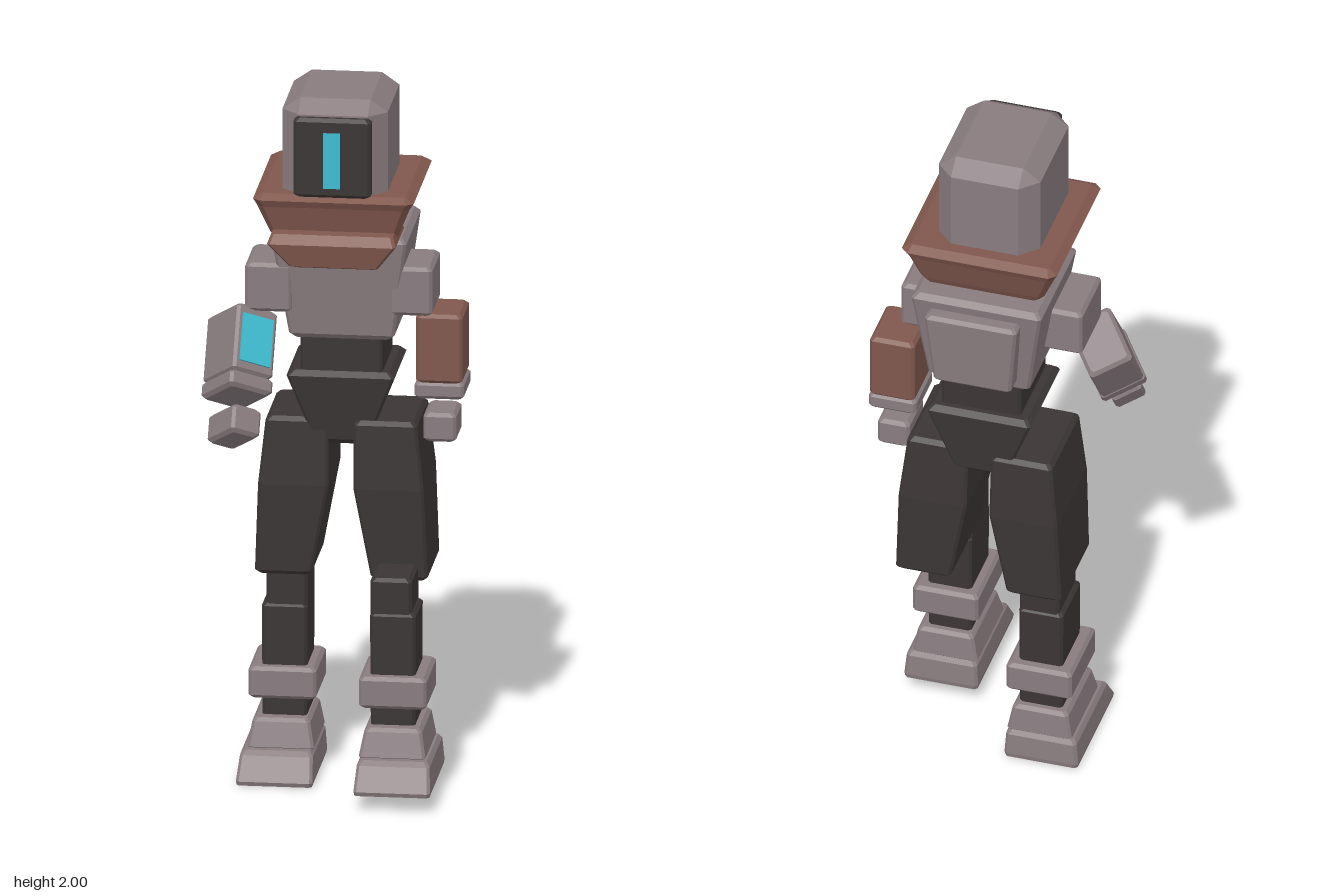
import * as THREE from 'three';

const paint = (name, color) => {
  const m = new THREE.MeshStandardMaterial({ color, flatShading: true });
  m.name = name;
  return m;
};

// Stacks chamfered rectangles [y, x0, x1, z0, z1, chamfer] from bottom to top.
function loft(sections) {
  const rings = sections.map(([y, x0, x1, z0, z1, c = 0.008]) => [
    [x0 + c, y, z1], [x1 - c, y, z1], [x1, y, z1 - c], [x1, y, z0 + c],
    [x1 - c, y, z0], [x0 + c, y, z0], [x0, y, z0 + c], [x0, y, z1 - c],
  ]);
  const pos = [];
  const tri = (a, b, c) => pos.push(...a, ...b, ...c);
  for (let k = 0; k + 1 < rings.length; k++) {
    for (let i = 0; i < 8; i++) {
      const j = (i + 1) % 8, lo = rings[k], hi = rings[k + 1];
      tri(lo[i], lo[j], hi[j]);
      tri(lo[i], hi[j], hi[i]);
    }
  }
  const bottom = rings[0], top = rings[rings.length - 1];
  for (let i = 1; i < 7; i++) {
    tri(top[0], top[i], top[i + 1]);
    tri(bottom[0], bottom[i + 1], bottom[i]);
  }
  const g = new THREE.BufferGeometry();
  g.setAttribute('position', new THREE.Float32BufferAttribute(pos, 3));
  g.computeVertexNormals();
  return g;
}

// Bevelled block through the given sections, with small bevels at both ends.
function block(sections, b = 0.01) {
  const inset = ([y, x0, x1, z0, z1], dy) => [y + dy, x0 + b, x1 - b, z0 + b, z1 - b];
  const first = sections[0], last = sections[sections.length - 1];
  const mid = sections.map((s) => [...s]);
  mid[0][0] += b;
  mid[mid.length - 1][0] -= b;
  return loft([inset(first, 0), ...mid, inset(last, 0)]);
}

// Bevelled box centred at x, y, z.
function box(w, h, d, x = 0, y = 0, z = 0) {
  const r = [x - w / 2, x + w / 2, z - d / 2, z + d / 2];
  return block([[y - h / 2, ...r], [y + h / 2, ...r]], Math.min(0.01, h / 5));
}

export function createModel() {
  const model = new THREE.Group();
  model.name = 'robot';
  const grey = paint('warm grey plating', 0x897c7f);
  const brown = paint('rust brown', 0x80574d);
  const dark = paint('charcoal', 0x3b3635);
  const cyan = paint('cyan glow', 0x3fbbd0);

  const add = (parent, name, geometry, material) => {
    const mesh = new THREE.Mesh(geometry, material);
    mesh.name = name;
    parent.add(mesh);
    return mesh;
  };

  // Head with a dark visor and a glowing slit
  add(model, 'head', loft([
    [1.70, -0.125, 0.17, -0.225, 0.145, 0.05],
    [1.965, -0.125, 0.17, -0.225, 0.145, 0.05],
    [2.0, -0.075, 0.122, -0.173, 0.095, 0.001],
  ]), grey);
  add(model, 'visor', box(0.217, 0.23, 0.05, 0.022, 1.845, 0.142), dark);
  const slit = add(model, 'visorSlit', new THREE.BoxGeometry(0.047, 0.16, 0.008), cyan);
  slit.position.set(0.022, 1.84, 0.168);

  // Collar and the bib hanging from its front
  add(model, 'collar', loft([
    [1.60, -0.14, 0.19, -0.24, 0.13, 0.015],
    [1.62, -0.155, 0.205, -0.25, 0.145, 0.015],
    [1.70, -0.19, 0.237, -0.275, 0.165, 0.02],
    [1.72, -0.2, 0.25, -0.285, 0.175, 0.02],
    [1.735, -0.175, 0.225, -0.26, 0.15, 0.005],
  ]), brown);
  add(model, 'collarBib', loft([
    [1.52, -0.085, 0.145, 0.0, 0.14],
    [1.54, -0.095, 0.155, 0.0, 0.2],
    [1.605, -0.155, 0.205, 0.0, 0.212],
    [1.63, -0.145, 0.195, 0.0, 0.19],
  ]), brown);

  // Torso
  add(model, 'chest', block([
    [1.28, -0.115, 0.18, -0.25, 0.03],
    [1.585, -0.16, 0.217, -0.29, 0.06],
  ], 0.015), grey);
  add(model, 'backPlate', block([
    [1.315, -0.08, 0.145, -0.315, -0.2],
    [1.545, -0.1, 0.167, -0.328, -0.2],
  ]), grey);
  add(model, 'waist', box(0.23, 0.2, 0.25, 0.03, 1.22, -0.11), dark);
  add(model, 'pelvis', block([
    [0.97, -0.05, 0.107, -0.25, 0.01],
    [1.185, -0.122, 0.18, -0.265, 0.03],
  ], 0.015), dark);
  add(model, 'leftShoulder', box(0.12, 0.14, 0.195, 0.228, 1.43, -0.052), grey);
  add(model, 'rightShoulder', box(0.13, 0.14, 0.195, -0.17, 1.43, -0.045), grey);

  // Forearm, cuff and hand, around the middle of the forearm
  const makeArm = (name, material) => {
    const arm = new THREE.Group();
    arm.name = name;
    add(arm, 'forearm', box(0.13, 0.2, 0.17, 0, 0.022, 0), material);
    add(arm, 'cuff', box(0.138, 0.05, 0.165, 0, -0.099, 0), grey);
    add(arm, 'hand', box(0.092, 0.083, 0.14, 0, -0.21, 0), grey);
    model.add(arm);
    return arm;
  };
  makeArm('leftArm', brown).position.set(0.297, 1.218, -0.123);
  const rightArm = makeArm('rightArm', grey);
  rightArm.position.set(-0.25, 1.23, 0.05);
  rightArm.rotation.set(-0.645, 0.645, 0);
  const panel = add(rightArm, 'armPanel', new THREE.BoxGeometry(0.098, 0.14, 0.008), cyan);
  panel.position.set(0, 0.022, 0.087);

  // Legs mirror about x = 0.03; the left one steps up and forward
  const mid = 0.03;
  for (const side of [1, -1]) {
    const leg = new THREE.Group();
    leg.name = side > 0 ? 'leftLeg' : 'rightLeg';
    leg.position.x = mid;
    const lift = side > 0 ? 0.045 : 0, step = side > 0 ? 0.21 : 0;
    const dz = side > 0 ? 0.02 : 0;
    // a and b are the inner and outer distances from the mid line
    const at = (y, a, b, z0, z1) =>
      side > 0 ? [y, a, b, z0, z1] : [y, -b, -a, z0, z1];
    const low = (y, a, b, z0, z1) => at(y + lift, a, b, z0 + step, z1 + step);

    add(leg, 'thigh', block([
      at(0.585, 0.083, 0.243, -0.272 + dz, 0.008 + dz),
      at(0.85, 0.036, 0.233, -0.28 + dz, 0.02 + dz),
      at(1.045, 0.036, 0.213, -0.262 + dz, 0.012 + dz),
    ], 0.012), dark);
    add(leg, 'knee', block([
      low(0.47, 0.1, 0.216, -0.2, -0.033),
      low(0.59, 0.1, 0.216, -0.2, -0.033),
    ]), dark);
    add(leg, 'shin', block([
      low(0.13, 0.102, 0.226, -0.203, -0.03),
      low(0.492, 0.1, 0.228, -0.205, -0.027),
    ]), dark);
    add(leg, 'ankleCuff', block([
      low(0.222, 0.072, 0.262, -0.235, 0.003),
      low(0.313, 0.072, 0.262, -0.235, 0.003),
    ]), grey);
    add(leg, 'footUpper', block([
      low(0.08, 0.075, 0.262, -0.235, 0.03),
      low(0.168, 0.088, 0.25, -0.228, 0.01),
    ]), grey);
    add(leg, 'footSole', loft([
      low(0.0, 0.072, 0.282, -0.245, 0.108),
      low(0.012, 0.07, 0.284, -0.247, 0.112),
      low(0.075, 0.074, 0.278, -0.243, 0.066),
      low(0.088, 0.084, 0.268, -0.233, 0.05),
    ]), grey);
    model.add(leg);
  }
  return model;
}
